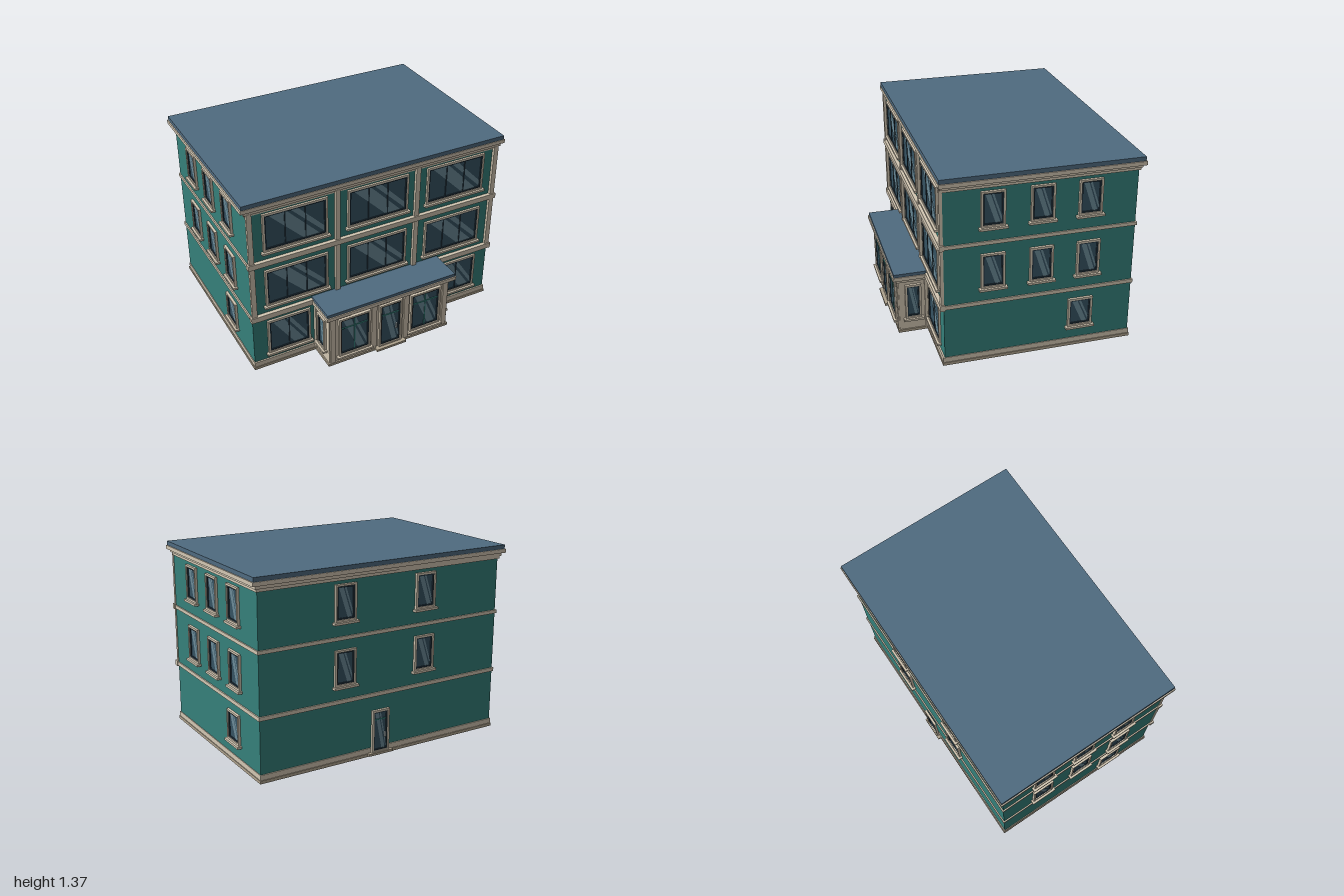
import * as THREE from 'three';

const mat = (color, side = THREE.FrontSide) => new THREE.MeshStandardMaterial({ color, side });
const TEAL = mat(0x35807a), TRIM = mat(0xd3c7b3), BASE = mat(0xb0a48f), ROOF = mat(0x4f6b80);
const GLASS = mat(0x365363), DARK = mat(0x243642), GLINT = mat(0x6c8b98, THREE.DoubleSide), STEEL = mat(0x9aa3a6);

// Box given by its minimum and maximum along each axis
function box(parent, name, material, x0, x1, y0, y1, z0, z1) {
  const m = new THREE.Mesh(new THREE.BoxGeometry(x1 - x0, y1 - y0, z1 - z0), material);
  m.position.set((x0 + x1) / 2, (y0 + y1) / 2, (z0 + z1) / 2);
  m.name = name;
  parent.add(m);
  return m;
}

// Rectangular ring standing in the xy plane, its lower edge at y = 0
function ring(parent, name, material, w, h, t, z, depth) {
  const rect = (P, a, b, c, d) => new P([[a, b], [c, b], [c, d], [a, d]].map(p => new THREE.Vector2(...p)));
  const shape = rect(THREE.Shape, -w / 2, 0, w / 2, h);
  shape.holes.push(rect(THREE.Path, -w / 2 + t, t, w / 2 - t, h - t));
  const m = new THREE.Mesh(new THREE.ExtrudeGeometry(shape, { depth, bevelEnabled: false }), material);
  m.position.z = z;
  m.name = name;
  parent.add(m);
}

// Diagonal reflections, as fractions of the glass width and height
const GLINTS = [
  [[0.06, 1], [0.36, 1], [0.92, 0], [0.64, 0]],
  [[0.43, 1], [0.55, 1], [1, 0.2], [1, 0.02]],
];

// Window or door facing +z, with its lower edge at y = 0
function opening(name, { w, h, panes = 1, sill = true, bar = 0, barMat = DARK, depth = 0.018, handle = false }) {
  const g = new THREE.Group();
  g.name = name;
  const t = 0.014, s = 0.01;
  ring(g, 'casing', TRIM, w, h, t, 0, depth);
  const iw = w - 2 * t, ih = h - 2 * t;
  box(g, 'glass', GLASS, -iw / 2, iw / 2, t, t + ih, -0.004, 0.004);
  const sash = new THREE.Group();
  sash.position.y = t;
  g.add(sash);
  ring(sash, 'sash', DARK, iw, ih, s, 0.002, 0.009);
  const gw = iw - 2 * s, gh = ih - 2 * s;
  for (const poly of GLINTS) {
    const shape = new THREE.Shape(poly.map(([u, v]) => new THREE.Vector2((u - 0.5) * gw, t + s + v * gh)));
    const m = new THREE.Mesh(new THREE.ShapeGeometry(shape), GLINT);
    m.position.z = 0.006;
    m.name = 'reflection';
    g.add(m);
  }
  for (let i = 1; i < panes; i++) {
    const x = -iw / 2 + (iw * i) / panes;
    box(g, 'mullion', barMat, x - 0.004, x + 0.004, t, t + ih, 0, 0.01);
  }
  if (bar) box(g, 'crossbar', barMat, -iw / 2, iw / 2, bar - 0.004, bar + 0.004, 0, 0.0105);
  if (sill) box(g, 'sill', TRIM, -w / 2 - 0.014, w / 2 + 0.014, -0.016, 0, 0, depth + 0.015);
  if (handle) box(g, 'handle', STEEL, w * 0.24, w * 0.3, h * 0.33, h * 0.45, 0.004, 0.016);
  return g;
}

function place(parent, part, x, y, z, turn = 0) {
  part.position.set(x, y, z);
  part.rotation.y = turn;
  parent.add(part);
}

export function createModel() {
  const model = new THREE.Group();
  model.name = 'building';
  const X = 0.955, ZF = 0.547, ZB = -0.768;

  // Walls, plinth and roof
  box(model, 'walls', TEAL, -X, X, 0.01, 1.3, ZB, ZF);
  box(model, 'plinth', TRIM, -0.96, 0.96, 0.02, 0.058, -0.775, 0.558);
  box(model, 'foundation', BASE, -0.965, 0.965, 0, 0.022, -0.78, 0.562);
  box(model, 'friezeBand', TRIM, -0.965, 0.965, 1.27, 1.305, -0.778, 0.55);
  box(model, 'lowerCornice', TRIM, -0.975, 0.975, 1.29, 1.318, -0.785, 0.565);
  box(model, 'upperCornice', TRIM, -1, 1, 1.313, 1.34, -0.803, 0.576);
  box(model, 'roof', ROOF, -0.992, 0.992, 1.34, 1.37, -0.797, 0.572);

  // Floor bands: slim around the sides, deep across the front
  for (const [y0, y1] of [[0.43, 0.457], [0.87, 0.895]]) {
    box(model, 'floorBand', TRIM, -0.964, 0.964, y0, y1, -0.777, 0.55);
    box(model, 'frontBand', TRIM, -0.97, 0.97, y0 - 0.005, y1 + 0.009, 0.54, 0.574);
  }

  // Front pilasters
  for (const x of [-0.941, -0.311, 0.305, 0.941])
    box(model, 'pilaster', TRIM, x - 0.018, x + 0.018, 0.46, 1.295, 0.545, 0.567);

  // Front windows
  for (const x of [-0.617, 0, 0.617])
    for (const y of [0.527, 0.97])
      place(model, opening('frontWindow', { w: 0.468, h: 0.29, panes: 3, depth: 0.015 }), x, y, ZF);
  for (const x of [-0.688, 0.688])
    place(model, opening('groundWindow', { w: 0.325, h: 0.28, panes: 2, depth: 0.015 }), x, 0.11, ZF);

  // Side and back windows
  const small = { w: 0.163, h: 0.25 };
  for (const y of [0.555, 0.997]) {
    for (const s of [-1, 1])
      for (const z of [0.217, -0.114, -0.44])
        place(model, opening('sideWindow', small), s * X, y, z, s * Math.PI / 2);
    for (const x of [-0.32, 0.32])
      place(model, opening('backWindow', small), x, y, ZB, Math.PI);
  }
  const low = { w: 0.175, h: 0.215 };
  place(model, opening('sideGroundWindow', low), X, 0.157, -0.4, Math.PI / 2);
  place(model, opening('sideGroundWindow', low), -X, 0.157, 0.18, -Math.PI / 2);

  // Back door
  place(model, opening('backDoor', { w: 0.14, h: 0.31, sill: false, bar: 0.24, barMat: TEAL, handle: true }),
    0.037, 0.022, ZB - 0.006, Math.PI);
  box(model, 'backStep', BASE, -0.06, 0.134, 0.008, 0.025, -0.8, -0.76);

  // Entrance porch
  const porch = new THREE.Group();
  porch.name = 'porch';
  model.add(porch);
  const PZ = 0.758, PX = 0.483;
  box(porch, 'porchWalls', TRIM, -PX, PX, 0.01, 0.43, 0.5, PZ);
  box(porch, 'porchFoundation', BASE, -0.492, 0.492, 0, 0.02, 0.5, 0.77);
  box(porch, 'porchFrieze', TRIM, -0.497, 0.497, 0.405, 0.432, 0.54, 0.774);
  box(porch, 'porchCornice', TRIM, -0.517, 0.517, 0.43, 0.457, 0.53, 0.8);
  box(porch, 'porchRoof', ROOF, -0.51, 0.51, 0.457, 0.48, 0.53, 0.792);
  for (const x of [-0.455, -0.131, 0.131, 0.455])
    box(porch, 'porchPilaster', TRIM, x - 0.02, x + 0.02, 0.02, 0.405, PZ - 0.01, PZ + 0.01);

  for (const s of [-1, 1]) {
    place(porch, opening('porchWindow', { w: 0.25, h: 0.325, panes: 2, bar: 0.235, barMat: TEAL }), s * 0.287, 0.065, PZ);
    place(porch, opening('porchSideWindow', { w: 0.115, h: 0.265 }), s * PX, 0.112, 0.658, s * Math.PI / 2);
    const x = s * (PX + 0.004);
    box(porch, 'sidePilaster', TRIM, x - 0.007, x + 0.007, 0.02, 0.405, 0.547, 0.575);
  }
  place(porch, opening('frontDoor', { w: 0.185, h: 0.37, sill: false, bar: 0.27, barMat: TEAL, handle: true }), 0, 0.022, PZ);
  box(porch, 'frontStep', BASE, -0.12, 0.12, 0.006, 0.024, 0.74, 0.8);

  return model;
}
